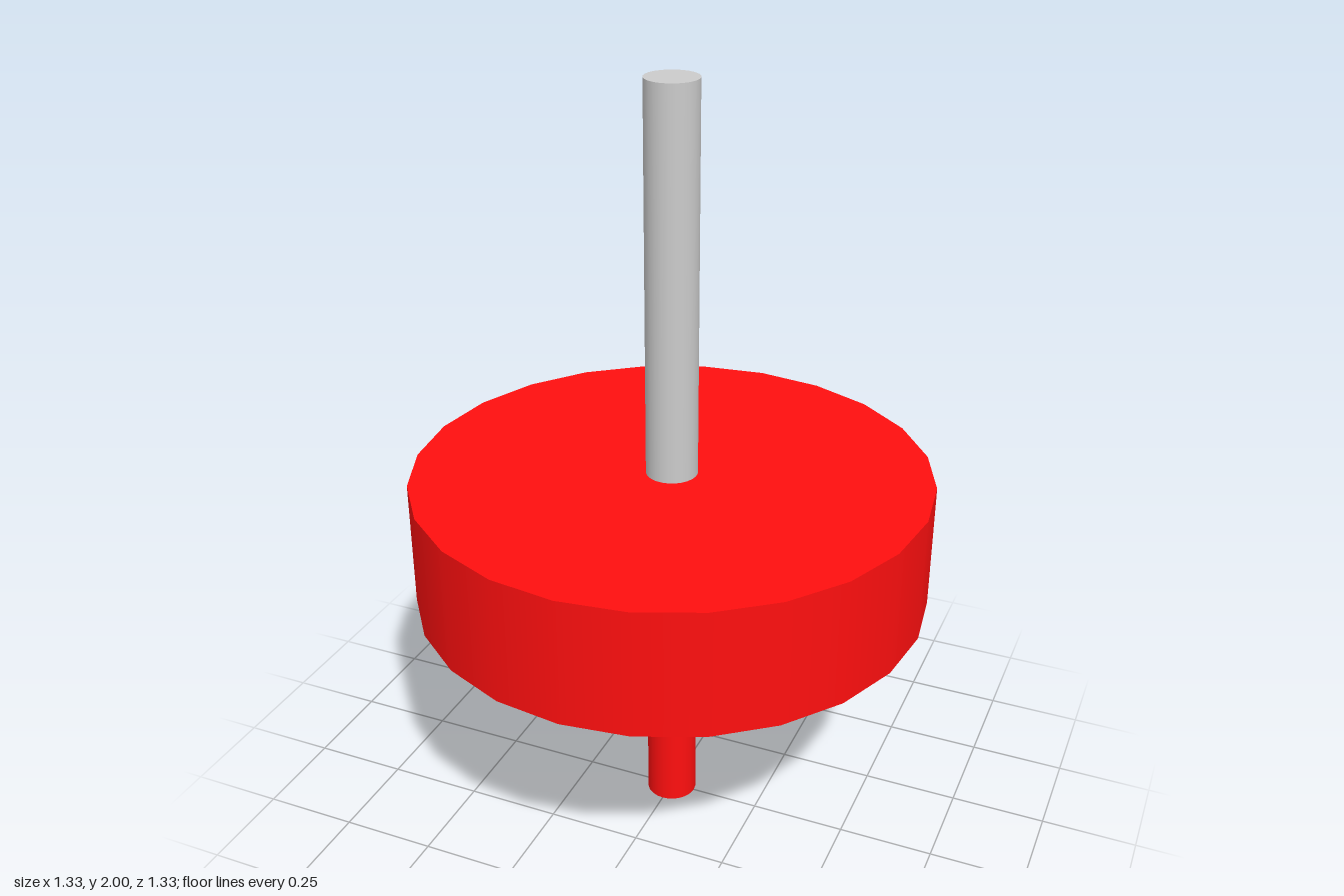
import * as THREE from 'three';

export function createModel() {
  const model = new THREE.Group();
  const red = new THREE.MeshStandardMaterial({ color: 0xff0f0f });
  const grey = new THREE.MeshStandardMaterial({ color: 0xcccccc });

  // Upright cylinder spanning bottom..top
  const addCylinder = (name, radius, bottom, top, material) => {
    const geometry = new THREE.CylinderGeometry(radius, radius, top - bottom, 24);
    const mesh = new THREE.Mesh(geometry, material);
    mesh.name = name;
    mesh.position.y = (bottom + top) / 2;
    model.add(mesh);
  };

  // Lower spindle, wide disc, and upper stem
  addCylinder('lowerSpindle', 0.0667, 0, 0.6667, red);
  addCylinder('disc', 0.6667, 0.6667, 1, red);
  addCylinder('upperStem', 0.0667, 1, 2, grey);

  return model;
}
